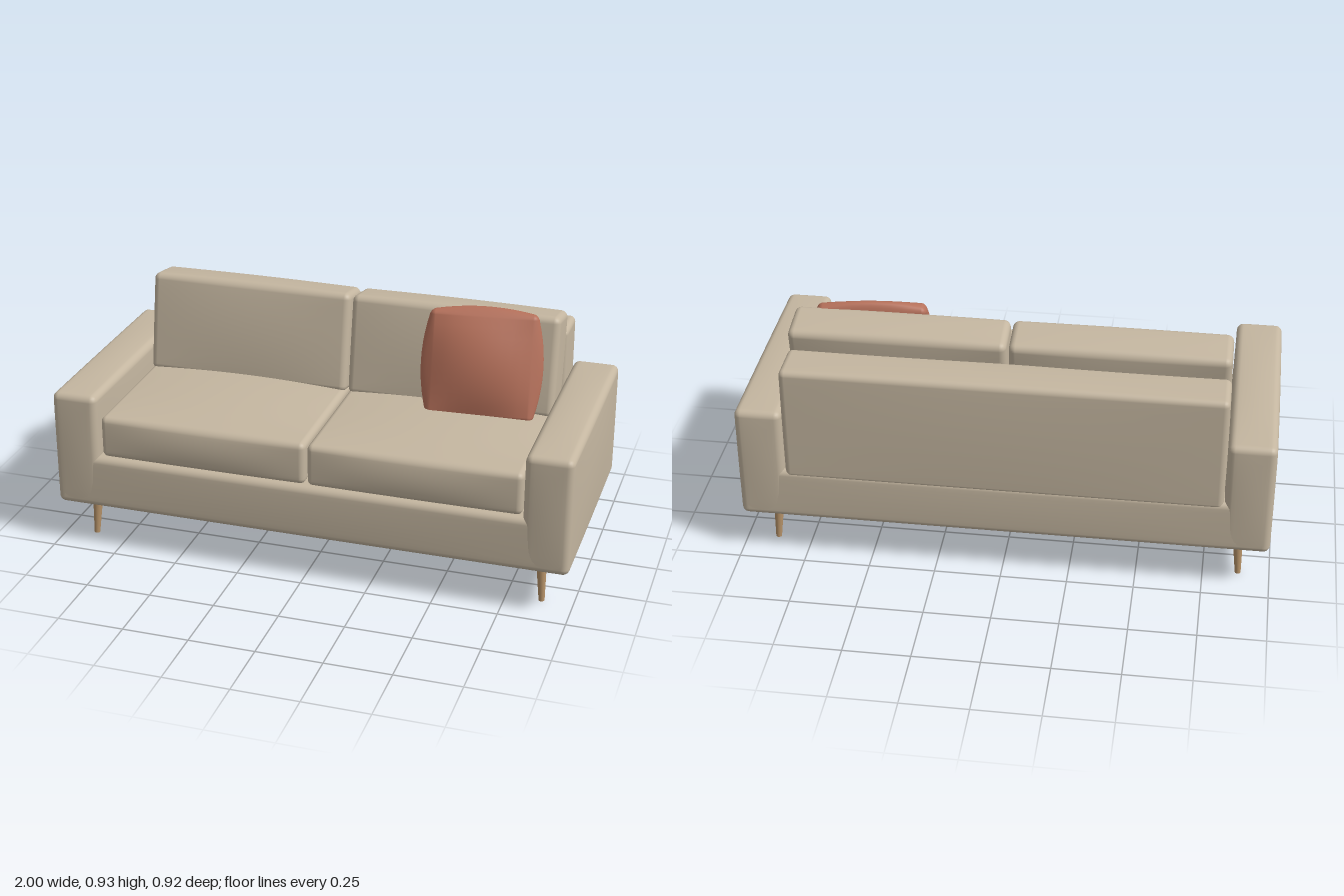
import * as THREE from 'three';
import { mergeVertices } from 'three/addons/utils/BufferGeometryUtils.js';

const fabric = new THREE.MeshStandardMaterial({ color: 0xc4b6a0 });
const rust = new THREE.MeshStandardMaterial({ color: 0xb5705a });
const wood = new THREE.MeshStandardMaterial({ color: 0xb8946a });
fabric.name = 'beige fabric';
rust.name = 'rust fabric';
wood.name = 'light wood';

// Upholstered block: box with rounded edges whose faces swell by bulge = [x, y, z]
function softBox(w, h, d, r, bulge) {
  const EDGE = 3, FLAT = 10, N = FLAT + 2 * EDGE;
  let geo = new THREE.BoxGeometry(2, 2, 2, N, N, N);
  geo.deleteAttribute('uv');
  geo.deleteAttribute('normal');
  geo = mergeVertices(geo);
  const half = [w / 2, h / 2, d / 2];
  const pos = geo.attributes.position;
  for (let i = 0; i < pos.count; i++) {
    const grid = [pos.getX(i), pos.getY(i), pos.getZ(i)];
    const inner = [], off = [];
    grid.forEach((t, a) => {
      // outer grid steps form the rounded edge, the rest the flat face
      const step = Math.abs(t) * N / 2, s = Math.sign(t), core = half[a] - r;
      inner[a] = s * core * Math.min(1, step / (FLAT / 2));
      off[a] = s * Math.tan(Math.max(0, step - FLAT / 2) / EDGE * Math.PI / 4);
    });
    const len = Math.hypot(...off) || 1;
    const p = inner.map((c, a) => c + off[a] / len * r);
    const u = p.map((c, a) => Math.min(1, Math.abs(c) / half[a]));
    const q = p.map((c, a) => {
      const b = (a + 1) % 3, e = (a + 2) % 3;
      return c + Math.sign(c) * bulge[a] * u[a] * (1 - u[b] ** 2) * (1 - u[e] ** 2);
    });
    pos.setXYZ(i, ...q);
  }
  geo.computeVertexNormals();
  return geo;
}

function addPart(group, name, geo, material, position, rotation = [0, 0, 0]) {
  const mesh = new THREE.Mesh(geo, material);
  mesh.name = name;
  mesh.position.set(...position);
  mesh.rotation.set(...rotation);
  group.add(mesh);
  return mesh;
}

export function createModel() {
  const sofa = new THREE.Group();
  sofa.name = 'sofa';

  // Frame
  addPart(sofa, 'base', softBox(1.976, 0.21, 0.91, 0.025, [0, 0.006, 0.004]), fabric, [0, 0.27, 0]);
  addPart(sofa, 'backrest', softBox(1.626, 0.46, 0.178, 0.022, [0.002, 0.007, 0.006]), fabric, [0, 0.575, -0.366]);

  const armGeo = softBox(0.175, 0.457, 0.908, 0.025, [0.008, 0.007, 0.006]);
  const seatGeo = softBox(0.805, 0.165, 0.72, 0.022, [0.002, 0.02, 0.012]);
  const backGeo = softBox(0.805, 0.39, 0.17, 0.025, [0.002, 0.008, 0.012]);
  const legGeo = new THREE.CylinderGeometry(0.021, 0.011, 0.18, 20);

  for (const side of [1, -1]) {
    const label = side > 0 ? 'left' : 'right';
    addPart(sofa, label + 'Arm', armGeo, fabric, [side * 0.9045, 0.393, 0]);

    // Cushions
    addPart(sofa, label + 'SeatCushion', seatGeo, fabric, [side * 0.407, 0.453, 0.072]);
    addPart(sofa, label + 'BackCushion', backGeo, fabric, [side * 0.407, 0.704, -0.187], [-0.17, 0, 0]);

    // Splayed tapered legs
    for (const end of [1, -1]) {
      addPart(sofa, label + (end > 0 ? 'Front' : 'Back') + 'Leg', legGeo, wood,
        [side * 0.878, 0.0905, end * 0.352], [-end * 0.055, 0, side * 0.055]);
    }
  }

  // Throw pillow leaning on the left back cushion
  const pillow = addPart(sofa, 'throwPillow', softBox(0.4, 0.4, 0.055, 0.018, [0.03, 0.022, 0.05]), rust,
    [0.535, 0.718, -0.062], [-0.29, 0.12, 0]);
  pillow.rotation.order = 'YXZ';

  return sofa;
}
